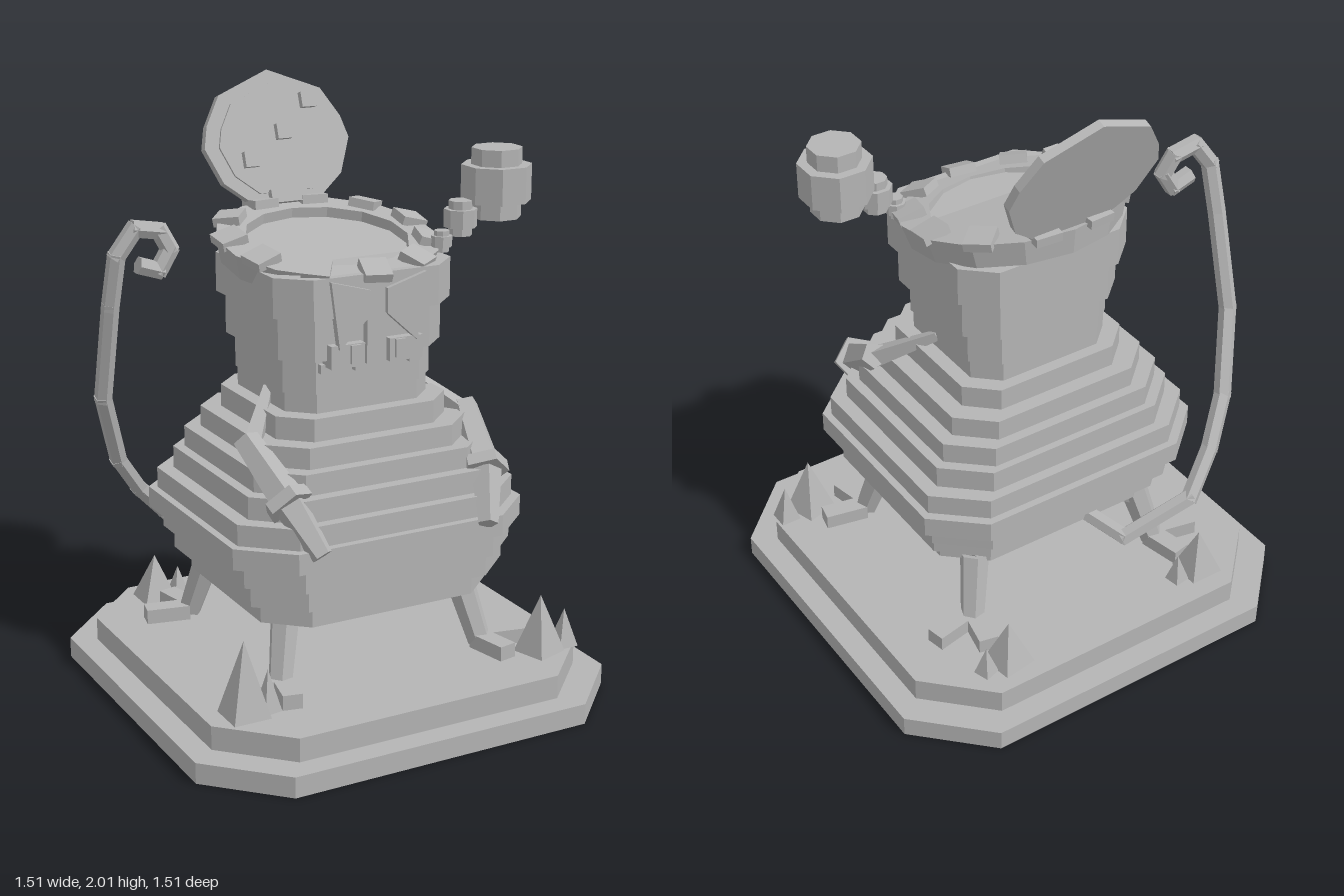
import * as THREE from 'three';

const stone = new THREE.MeshStandardMaterial({ color: 0xb4b4b4, flatShading: true });
stone.name = 'grey stone';

const V = (x, y, z) => new THREE.Vector3(x, y, z);

function add(parent, name, geometry, x = 0, y = 0, z = 0) {
  const mesh = new THREE.Mesh(geometry, stone);
  mesh.name = name;
  mesh.position.set(x, y, z);
  parent.add(mesh);
  return mesh;
}

function group(parent, name, x = 0, y = 0, z = 0) {
  const g = new THREE.Group();
  g.name = name;
  g.position.set(x, y, z);
  parent.add(g);
  return g;
}

const plate = (points, depth) => new THREE.ExtrudeGeometry(
  new THREE.Shape(points.map(([x, y]) => new THREE.Vector2(x, y))), { depth, bevelEnabled: false });

// Slab with cut corners, from half width, z range and y range
function slab(parent, name, w, back, front, y0, y1) {
  const d = (front - back) / 2, cx = w * 0.7, cz = d * 0.7;
  const geo = plate([[cx, -d], [w, -cz], [w, cz], [cx, d], [-cx, d], [-w, cz], [-w, -cz], [-cx, -d]], y1 - y0);
  geo.rotateX(-Math.PI / 2);
  return add(parent, name, geo, 0, y0, (front + back) / 2);
}

// Tapered rod between two points
function rod(parent, name, a, b, ra, rb, sides = 6) {
  const dir = b.clone().sub(a);
  const mesh = add(parent, name, new THREE.CylinderGeometry(rb, ra, dir.length(), sides));
  mesh.position.copy(a).add(b).multiplyScalar(0.5);
  mesh.quaternion.setFromUnitVectors(V(0, 1, 0), dir.normalize());
  return mesh;
}

export function createModel() {
  const model = new THREE.Group();
  model.name = 'potCreature';

  // Stepped base
  slab(model, 'baseLower', 0.755, -0.755, 0.755, 0, 0.07);
  slab(model, 'baseUpper', 0.675, -0.675, 0.675, 0.07, 0.15);

  // Stacked body rings: half width, back z, front z, top y
  const body = group(model, 'body');
  let y = 0.38;
  [
    [0.42, -0.34, 0.42, 0.45], [0.465, -0.39, 0.455, 0.52], [0.49, -0.43, 0.47, 0.59],
    [0.53, -0.46, 0.48, 0.66], [0.505, -0.435, 0.455, 0.73], [0.455, -0.4, 0.42, 0.805],
    [0.42, -0.375, 0.38, 0.875], [0.37, -0.34, 0.34, 0.945], [0.31, -0.29, 0.29, 1.02],
    [0.26, -0.25, 0.24, 1.085], [0.268, -0.25, 0.245, 1.2], [0.295, -0.27, 0.275, 1.34],
    [0.32, -0.295, 0.3, 1.47],
  ].forEach(([w, back, front, top]) => {
    slab(body, 'bodyRing', w, back, front, y, top);
    y = top;
  });

  // Tilted rim with the liquid surface and a ring of teeth
  const rim = group(model, 'rim', 0, 1.525, -0.03);
  rim.rotation.x = 0.18;
  const profile = [[0.275, 0], [0.275, -0.08], [0.35, -0.085], [0.375, 0], [0.275, 0]];
  const ring = add(rim, 'rimRing', new THREE.LatheGeometry(profile.map(p => new THREE.Vector2(...p)), 14));
  ring.scale.z = 0.92;
  add(rim, 'mouthSurface', new THREE.CylinderGeometry(0.3, 0.3, 0.03, 14), 0, -0.05, 0).scale.z = 0.92;
  for (let i = 0; i < 11; i++) {
    const a = (i / 11) * Math.PI * 2;
    const tooth = add(rim, 'rimTooth', new THREE.BoxGeometry(0.09, 0.03, 0.09),
      Math.sin(a) * 0.335, 0.008, Math.cos(a) * 0.32);
    tooth.rotation.set(0.25, a + (i % 3 - 1) * 0.2, 0, 'YXZ');
  }

  // Open lid
  const lid = group(model, 'lid', 0, 1.575, -0.345);
  lid.rotation.x = -0.343;
  const half = [[0.12, 0], [0.22, 0.08], [0.27, 0.2], [0.25, 0.275], [0.19, 0.375]];
  const outline = [...half, [0, 0.45], ...half.map(([x, h]) => [-x, h]).reverse()];
  add(lid, 'lidPlate', plate(outline, 0.03));
  add(lid, 'lidPanel', plate(outline.map(([x, h]) => [x * 0.81, 0.035 + h * 0.82]), 0.008), 0, 0, 0.03);
  [[0.125, 0.335], [0.017, 0.235], [-0.117, 0.15]].forEach(([x, h]) =>
    add(lid, 'lidStud', new THREE.BoxGeometry(0.052, 0.052, 0.03), x, h, 0.045));
  add(lid, 'lidHinge', new THREE.BoxGeometry(0.13, 0.045, 0.05), 0, 0.02, 0.03);

  // Face: brows, nose, cheeks and jaw teeth
  const face = group(model, 'face');
  for (const s of [-1, 1]) {
    const pts = [[0.17 * s, 1.46], [0.03 * s, 1.42], [0.03 * s, 1.34], [0.14 * s, 1.24]];
    const brow = add(face, 'brow', plate(pts, 0.025), 0, 0, 0.29);
    brow.rotation.y = 0;
    add(face, 'cheek', new THREE.BoxGeometry(0.12, 0.075, 0.06), 0.105 * s, 1.215, 0.275);
    add(face, 'jawTooth', new THREE.BoxGeometry(0.035, 0.06, 0.03), 0.08 * s, 1.22, 0.3);
    add(face, 'jawTooth', new THREE.BoxGeometry(0.04, 0.03, 0.03), 0.16 * s, 1.17, 0.25);
  }
  add(face, 'nose', new THREE.BoxGeometry(0.07, 0.17, 0.05), 0, 1.265, 0.275);
  add(face, 'chin', new THREE.BoxGeometry(0.12, 0.035, 0.04), 0, 1.17, 0.25);

  // Arms and legs, mirrored
  for (const s of [-1, 1]) {
    const arm = group(model, s > 0 ? 'leftArm' : 'rightArm');
    rod(arm, 'upperArm', V(0.25 * s, 1.06, 0.03), V(0.4 * s, 0.92, 0.21), 0.02, 0.04, 4);
    rod(arm, 'forearm', V(0.405 * s, 0.95, 0.18), V(0.36 * s, 0.8, 0.38), 0.045, 0.06, 5);
    rod(arm, 'cuff', V(0.365 * s, 0.81, 0.365), V(0.355 * s, 0.785, 0.395), 0.08, 0.08, 5);
    rod(arm, 'claw', V(0.355 * s, 0.79, 0.39), V(0.3 * s, 0.65, 0.5), 0.055, 0.035, 5);

    for (const f of [-1, 1]) {
      const leg = group(model, f > 0 ? 'frontLeg' : 'backLeg');
      rod(leg, 'thigh', V(0.15 * s, 0.4, 0.16 * f), V(0.335 * s, 0.36, 0.3 * f), 0.04, 0.045);
      rod(leg, 'shin', V(0.325 * s, 0.39, 0.29 * f), V(0.375 * s, 0.17, 0.35 * f), 0.05, 0.04);
      const toeX = add(leg, 'toe', new THREE.BoxGeometry(0.15, 0.05, 0.065), 0.46 * s, 0.175, 0.355 * f);
      toeX.rotation.y = -0.2 * s * f;
      const toeZ = add(leg, 'toe', new THREE.BoxGeometry(0.065, 0.05, 0.15), 0.385 * s, 0.175, 0.415 * f);
      toeZ.rotation.y = 0.2 * s * f;
    }
  }

  // Curled tail
  const tail = group(model, 'tail');
  const path = [
    [-0.1, 0.39, -0.3], [-0.16, 0.36, -0.47], [-0.38, 0.475, -0.535], [-0.5, 0.6, -0.48],
    [-0.6, 0.74, -0.41], [-0.69, 1, -0.3], [-0.69, 1.33, -0.21], [-0.68, 1.5, -0.17],
    [-0.62, 1.585, -0.16], [-0.535, 1.57, -0.16], [-0.505, 1.51, -0.15], [-0.545, 1.445, -0.15],
    [-0.605, 1.465, -0.15],
  ].map(p => V(...p));
  for (let i = 1; i < path.length; i++) {
    const extend = path[i].clone().sub(path[i - 1]).setLength(0.012);
    rod(tail, 'tailSegment', path[i - 1].clone().sub(extend), path[i].clone().add(extend), 0.03, 0.03);
  }

  // Faceted bubbles rising from the mouth
  const bubble = (x, cy, r, h) => {
    const g = group(model, 'bubble', x, cy, 0.155);
    for (const [k, v] of [[1, 0.52], [0.72, 1]]) {
      const geo = new THREE.CylinderGeometry(r * k, r * k, h * v, 8);
      geo.rotateY(Math.PI / 8);
      add(g, 'bubbleBand', geo);
    }
  };
  bubble(0.525, 1.685, 0.117, 0.23);
  bubble(0.39, 1.58, 0.055, 0.115);
  bubble(0.32, 1.51, 0.035, 0.07);

  // Spikes on the base: x, z, height, radius
  const spikes = group(model, 'spikes');
  [
    [-0.55, 0.45, 0.25, 0.09], [-0.47, 0.455, 0.14, 0.045], [0.53, 0.48, 0.2, 0.085],
    [0.63, 0.475, 0.13, 0.05], [0.37, -0.56, 0.16, 0.085], [0.46, -0.565, 0.1, 0.04],
    [-0.42, -0.55, 0.16, 0.085], [-0.33, -0.555, 0.1, 0.04],
  ].forEach(([x, z, h, r], i) => {
    const geo = new THREE.ConeGeometry(r, h, 4);
    geo.rotateY(Math.PI / 4 + 0.15 * (i % 3));
    add(spikes, 'spike', geo, x, 0.15 + h / 2, z);
  });

  return model;
}
